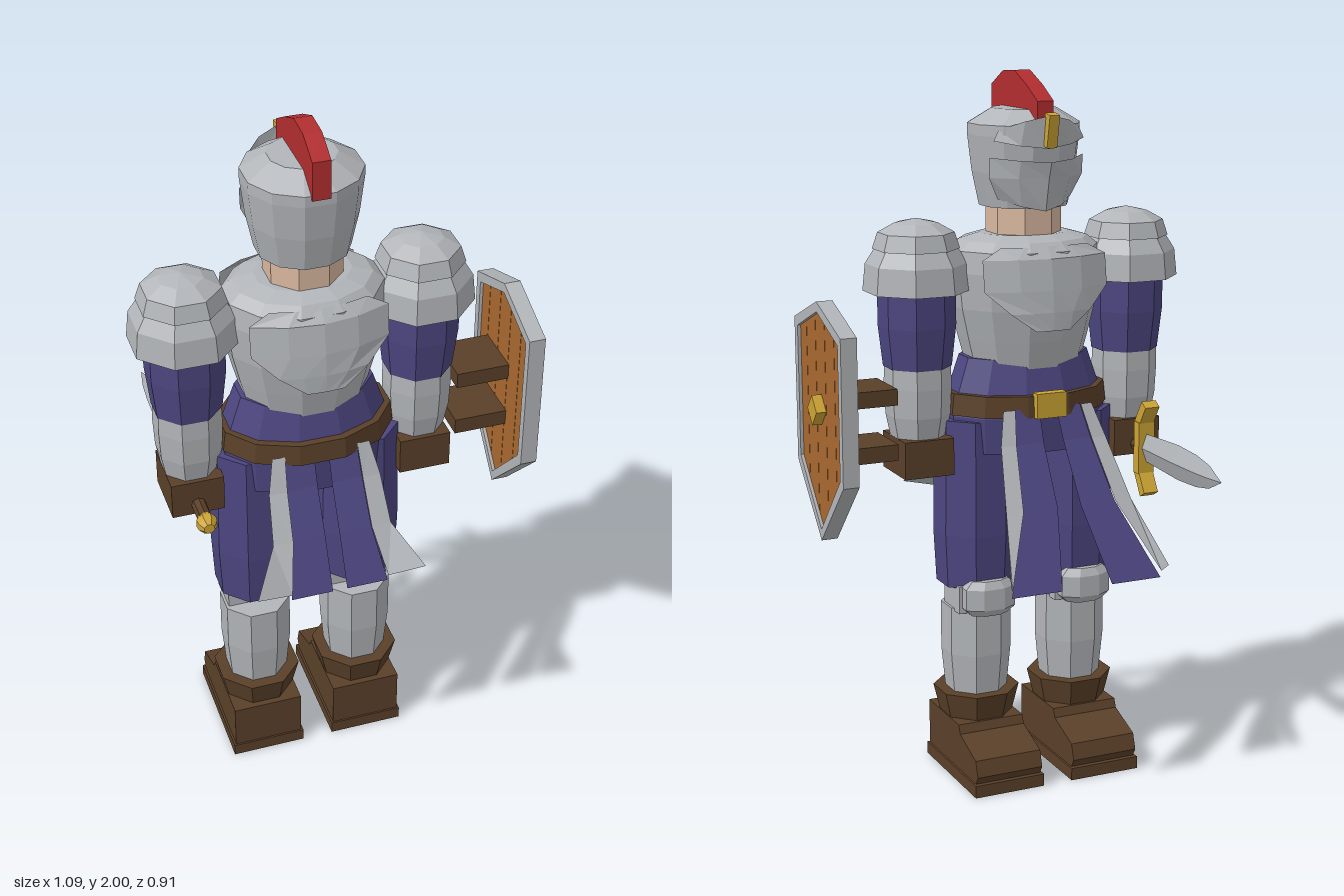
import * as THREE from 'three';

const mat = (name, color) => {
  const m = new THREE.MeshStandardMaterial({ color, flatShading: true, side: THREE.DoubleSide });
  m.name = name;
  return m;
};

export function createModel() {
  const steel = mat('steel', 0xb2b5b9), cloth = mat('purple cloth', 0x4c4680);
  const leather = mat('brown leather', 0x5a4029), red = mat('red plume', 0xb22d2f);
  const gold = mat('gold', 0xcda434), wood = mat('shield wood', 0xa8682f), skin = mat('skin', 0xd9b8a0);
  const model = new THREE.Group();
  const body = new THREE.Group(); // figure axis; the figure looks towards -z
  body.name = 'figure';
  body.position.set(-0.082, 0, 0.11);
  model.add(body);

  const add = (name, geo, material, x = 0, y = 0, z = 0, parent = body) => {
    const m = new THREE.Mesh(geo, material);
    m.name = name;
    m.position.set(x, y, z);
    parent.add(m);
    return m;
  };
  const box = (w, h, d) => new THREE.BoxGeometry(w, h, d);
  // Faceted turned solid from [radius, height] pairs, bottom to top, closed at both ends
  const turned = (pts, sides, sx = 1, sz = 1) => {
    const full = [[0, pts[0][1]], ...pts, [0, pts[pts.length - 1][1]]];
    const g = new THREE.LatheGeometry(full.map(p => new THREE.Vector2(...p)), sides);
    g.rotateY(Math.PI / sides);
    return g.scale(sx, 1, sz);
  };
  // Thin sheet through rows of [x, y, z] points
  const sheet = rows => {
    const n = rows[0].length, idx = [];
    for (let r = 0; r < rows.length - 1; r++)
      for (let c = 0; c < n - 1; c++) {
        const a = r * n + c, b = a + n;
        idx.push(a, b, a + 1, a + 1, b, b + 1);
      }
    const g = new THREE.BufferGeometry();
    g.setAttribute('position', new THREE.Float32BufferAttribute(rows.flat(2), 3));
    g.setIndex(idx);
    g.computeVertexNormals();
    return g;
  };
  // Outline drawn as [z, y] and extruded across x, centred
  const sideShape = (pts) => new THREE.Shape(pts.map(([z, y]) => new THREE.Vector2(-z, y)));
  const acrossX = (shape, width) => {
    const g = new THREE.ExtrudeGeometry(shape, { depth: width, bevelEnabled: false });
    return g.translate(0, 0, -width / 2).rotateY(Math.PI / 2);
  };

  // Head and helmet
  add('neck', turned([[0.105, 1.53], [0.105, 1.66]], 8), skin);
  add('helmet', turned([[0.125, 1.635], [0.145, 1.73], [0.157, 1.83], [0.157, 1.86], [0.09, 1.9]], 12), steel);
  add('plume', acrossX(sideShape([[0.16, 1.85], [0.16, 1.955], [0.085, 1.995], [0.01, 2],
    [-0.07, 1.965], [-0.14, 1.925], [-0.14, 1.86]]), 0.048), red);
  const vee = (y, side, mid, dy, w) => [[-w, y + dy, side], [-w * 0.55, y + dy * 0.4, (side + mid * 2) / 3],
    [0, y, mid], [w * 0.55, y + dy * 0.4, (side + mid * 2) / 3], [w, y + dy, side]];
  add('brow', sheet([vee(1.89, -0.1, -0.18, -0.04, 0.12), vee(1.8, -0.1, -0.165, 0.02, 0.135)]), steel);
  add('browCrest', box(0.03, 0.09, 0.03), gold, 0, 1.85, -0.175).rotation.x = -0.2;
  add('visor', sheet([vee(1.765, -0.085, -0.18, 0.01, 0.14), vee(1.72, -0.08, -0.165, 0, 0.14),
    vee(1.63, -0.07, -0.145, 0.03, 0.11)]), steel);

  // Torso, collar and raised plates
  add('cuirass', turned([[0.16, 1.16], [0.19, 1.27], [0.212, 1.36], [0.222, 1.46], [0.215, 1.52],
    [0.185, 1.545], [0.13, 1.56]], 12, 1, 0.8), steel);
  const plateRows = [[1.535, 0.13, 0.155], [1.505, 0.185, 0.182], [1.42, 0.185, 0.195], [1.36, 0.12, 0.2], [1.31, 0.05, 0.2]];
  for (const s of [-1, 1])
    add(s < 0 ? 'chestPlate' : 'backPlate', sheet(plateRows.map(([y, w, z]) =>
      [-1, -0.5, 0, 0.5, 1].map(u => [u * w, y, s * (z - 1.3 * (u * w) ** 2)]))), steel);
  add('tunic', turned([[0.235, 0.96], [0.242, 1.06], [0.225, 1.12], [0.19, 1.22]], 12, 1, 0.68), cloth);
  add('belt', turned([[0.247, 1.065], [0.24, 1.125]], 12, 1, 0.72), leather);
  add('buckle', box(0.09, 0.07, 0.03), gold, 0, 1.1, -0.175);

  // Skirt panels: rows of height, depth, inner, split and outer offsets
  const back = [[1.09, 0.15, 0.02, 0.1, 0.135], [1.0, 0.185, 0.02, 0.105, 0.155],
    [0.88, 0.25, 0.02, 0.11, 0.165], [0.74, 0.32, 0.02, 0.135, 0.235]];
  const front = [[1.09, -0.16, 0.025, 0.1, 0.135], [1.0, -0.2, 0.03, 0.115, 0.16],
    [0.84, -0.3, 0.035, 0.14, 0.19], [0.64, -0.415, 0.075, 0.225, 0.238]];
  for (const s of [-1, 1]) {
    for (const [label, rows, out] of [['back', back, 1], ['front', front, -1]]) {
      add(label + 'SkirtPanel', sheet(rows.map(([y, z, a, b]) => [[s * a, y, z], [s * b, y, z]])), cloth);
      add(label + 'SkirtTrim', sheet(rows.map(([y, z, , b, c], i) => {
        const lift = i === 3 ? 0.02 : 0;
        return [[s * b, y + lift, z + out * 0.005], [s * c, y + lift * 2, z + out * (lift + 0.002)]];
      })), steel);
    }

    // Arm with shoulder armour
    const arm = new THREE.Group();
    arm.name = s > 0 ? 'leftArm' : 'rightArm';
    arm.position.x = s * 0.322;
    body.add(arm);
    add('pauldronRim', turned([[0.148, 1.415], [0.14, 1.49], [0.105, 1.545]], 8), steel, 0, 0, 0, arm);
    add('pauldronCap', turned([[0.12, 1.53], [0.105, 1.575], [0.06, 1.6], [0.005, 1.612]], 8), steel, 0, 0, 0, arm);
    add('sleeve', turned([[0.095, 1.205], [0.108, 1.32], [0.108, 1.44]], 8), cloth, 0, 0, 0, arm);
    add('vambrace', turned([[0.072, 0.98], [0.09, 1.07], [0.094, 1.15], [0.092, 1.215]], 8), steel, 0, 0, 0, arm);
    add('glove', box(0.145, 0.105, 0.17), leather, 0, 0.957, 0, arm);

    // Leg, knee guard and boot
    const leg = new THREE.Group();
    leg.name = s > 0 ? 'leftLeg' : 'rightLeg';
    leg.position.x = s * 0.15;
    body.add(leg);
    add('trouser', turned([[0.112, 0.565], [0.12, 0.72], [0.115, 1.05]], 8), cloth, 0, 0, 0, leg);
    add('greave', turned([[0.085, 0.2], [0.1, 0.36], [0.1, 0.5]], 8), steel, 0, 0, 0, leg);
    add('kneeJoint', box(0.17, 0.08, 0.11), steel, 0, 0.533, -0.025, leg);
    add('kneeCap', turned([[0.035, 0.49], [0.048, 0.51], [0.048, 0.57], [0.035, 0.592]], 8, 1.7, 1), steel, 0, 0, -0.09, leg);
    add('bootCuff', turned([[0.1, 0.15], [0.108, 0.18], [0.124, 0.245]], 8), leather, 0, 0, 0, leg);
    add('boot', acrossX(sideShape([[0.115, 0.035], [0.115, 0.17], [-0.105, 0.17], [-0.115, 0.145], [-0.225, 0.105],
      [-0.24, 0.06], [-0.225, 0.035]]), 0.2), leather, 0, 0, 0, leg);
    add('sole', box(0.212, 0.036, 0.36), leather, 0, 0.018, -0.06, leg);
  }

  // Shield on the left arm
  const shield = new THREE.Group();
  shield.name = 'shield';
  shield.position.set(0.508, 0, 0.107);
  model.add(shield);
  const outline = [[0, 1.405], [0.186, 1.335], [0.186, 0.93], [0, 0.738], [-0.186, 0.93], [-0.186, 1.335]];
  const inner = outline.map(([z, y]) => [z * 0.87, 1.095 + (y - 1.095) * 0.91]);
  const rim = sideShape(outline);
  rim.holes.push(new THREE.Path(inner.map(([z, y]) => new THREE.Vector2(-z, y))));
  add('shieldRim', acrossX(rim, 0.046), steel, 0, 0, 0, shield);
  // Planks cut from the inner outline
  const topAt = z => 1.377 - 0.064 * Math.abs(z) / 0.162, lowAt = z => 0.77 + 0.175 * Math.abs(z) / 0.162;
  const cuts = [-0.162, -0.11, -0.037, 0.037, 0.11, 0.162];
  for (let i = 0; i < 5; i++) {
    const a = cuts[i] + 0.001, b = cuts[i + 1] - 0.001;
    const pts = [[a, lowAt(a)], [a, topAt(a)]];
    if (i === 2) pts.push([0, topAt(0)]);
    pts.push([b, topAt(b)], [b, lowAt(b)]);
    if (i === 2) pts.push([0, lowAt(0)]);
    add('shieldPlank', acrossX(sideShape(pts), 0.028), wood, 0, 0, 0, shield);
  }
  add('shieldBoss', acrossX(sideShape([[0, 1.15], [0.037, 1.108], [0, 1.066], [-0.037, 1.108]]), 0.032),
    gold, 0.026, 0, 0, shield);
  for (const y of [1.147, 0.993])
    add('shieldStrap', box(0.15, 0.045, 0.157), leather, -0.09, y, -0.031, shield);

  // Sword in the right hand, blade along -z
  const sword = new THREE.Group();
  sword.name = 'sword';
  sword.position.set(-0.404, 0.935, 0);
  model.add(sword);
  const blade = new THREE.LatheGeometry([[0, 0.02], [0.8, 0.02], [1, 0.22], [0.9, 0.32], [0.65, 0.39], [0, 0.455]]
    .map(p => new THREE.Vector2(...p)), 4).scale(0.018, 1, 0.05).rotateX(-Math.PI / 2);
  add('blade', blade, steel, 0, 0, 0, sword);
  add('guard', box(0.05, 0.15, 0.03), gold, 0, 0, -0.02, sword);
  for (const s of [-1, 1])
    add('guardTip', box(0.045, 0.075, 0.028), gold, 0, s * 0.1, -0.035, sword).rotation.x = -s * 0.55;
  add('grip', new THREE.CylinderGeometry(0.02, 0.02, 0.28, 8).rotateX(Math.PI / 2), leather, 0, 0, 0.12, sword);
  add('pommel', turned([[0.016, 0.25], [0.029, 0.273], [0.027, 0.29], [0.015, 0.306]], 8).rotateX(Math.PI / 2),
    gold, 0, 0, 0, sword);

  return model;
}
